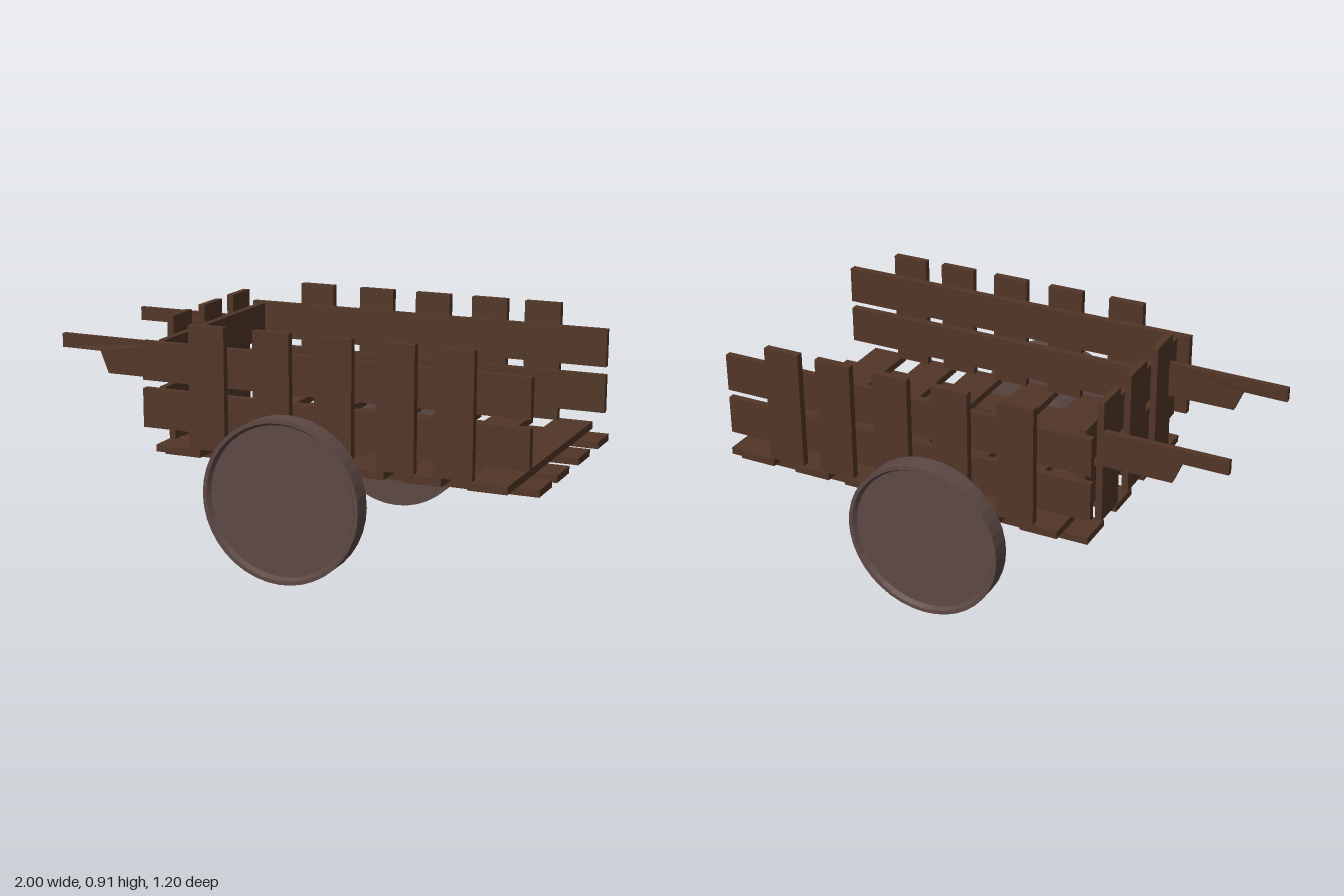
import * as THREE from 'three';

const wood = new THREE.MeshStandardMaterial({ color: 0x523627, flatShading: true });
const dark = new THREE.MeshStandardMaterial({ color: 0x5c4844, flatShading: true });

export function createModel() {
  const cart = new THREE.Group();
  cart.name = 'handcart';

  const add = (name, geometry, material) => {
    const mesh = new THREE.Mesh(geometry, material);
    mesh.name = name;
    cart.add(mesh);
    return mesh;
  };

  // Plank given by its extents along each axis
  const plank = (name, [x0, x1], [y0, y1], [z0, z1]) => {
    const mesh = add(name, new THREE.BoxGeometry(x1 - x0, y1 - y0, z1 - z0), wood);
    mesh.position.set((x0 + x1) / 2, (y0 + y1) / 2, (z0 + z1) / 2);
  };

  const railHeights = [[0.5, 0.65], [0.682, 0.83]];

  // Floor: long planks below, cross planks on top
  for (const z of [-0.392, -0.135, 0.127, 0.333])
    plank('floorPlank', [-0.525, 1], [0.39, 0.417], [z - 0.073, z + 0.073]);
  for (const x of [-0.354, -0.122, 0.122, 0.381, 0.6, 0.844])
    plank('crossPlank', [x - 0.074, x + 0.074], [0.417, 0.446], [-0.518, 0.511]);

  // Side walls
  for (const [inner, middle, outer] of [[0.44, 0.471, 0.5], [-0.454, -0.481, -0.511]]) {
    const zRail = [Math.min(inner, middle), Math.max(inner, middle)];
    const zSlat = [Math.min(middle, outer), Math.max(middle, outer)];
    for (const y of railHeights) plank('sideRail', [-0.54, 0.982], y, zRail);
    for (const x of [-0.256, 0.007, 0.252, 0.492, 0.712])
      plank('sideSlat', [x - 0.073, x + 0.073], [0.446, 0.913], zSlat);
  }

  // End wall
  for (const y of railHeights) plank('endRail', [-0.496, -0.47], y, [-0.426, 0.421]);
  for (const z of [0.233, -0.019, -0.261])
    plank('endSlat', [-0.522, -0.496], [0.418, 0.9], [z - 0.074, z + 0.074]);

  // Handles: deep at the wall, stepped down to a grip
  const profile = new THREE.Shape([
    [-1, 0.735], [-0.825, 0.735], [-0.79, 0.65], [-0.522, 0.65], [-0.522, 0.79], [-1, 0.79],
  ].map(([x, y]) => new THREE.Vector2(x, y)));
  for (const [z, skew] of [[0.281, 0.02], [-0.339, 0.01]]) {
    const geometry = new THREE.ExtrudeGeometry(profile, { depth: 0.022, bevelEnabled: false });
    // Bend the grip slightly sideways
    const p = geometry.attributes.position;
    for (let i = 0; i < p.count; i++)
      p.setZ(i, p.getZ(i) + z + skew * Math.min(0, p.getX(i) + 0.75) * 2);
    geometry.computeVertexNormals();
    add('handle', geometry, wood);
  }

  // Axle and dished wheels
  const axle = add('axle', new THREE.CylinderGeometry(0.078, 0.078, 1.04, 32), dark);
  axle.rotation.x = Math.PI / 2;
  axle.position.set(0.085, 0.312, 0);

  const section = [[0, 0], [0.31, 0], [0.31, 0.08], [0.295, 0.08], [0.285, 0.062], [0, 0.062]]
    .map(([r, h]) => new THREE.Vector2(r, h));
  for (const side of [1, -1]) {
    const wheel = add(side > 0 ? 'frontWheel' : 'backWheel', new THREE.LatheGeometry(section, 40), dark);
    wheel.rotation.x = side * Math.PI / 2;
    wheel.position.set(0.085, 0.31, side * 0.518);
  }

  return cart;
}
